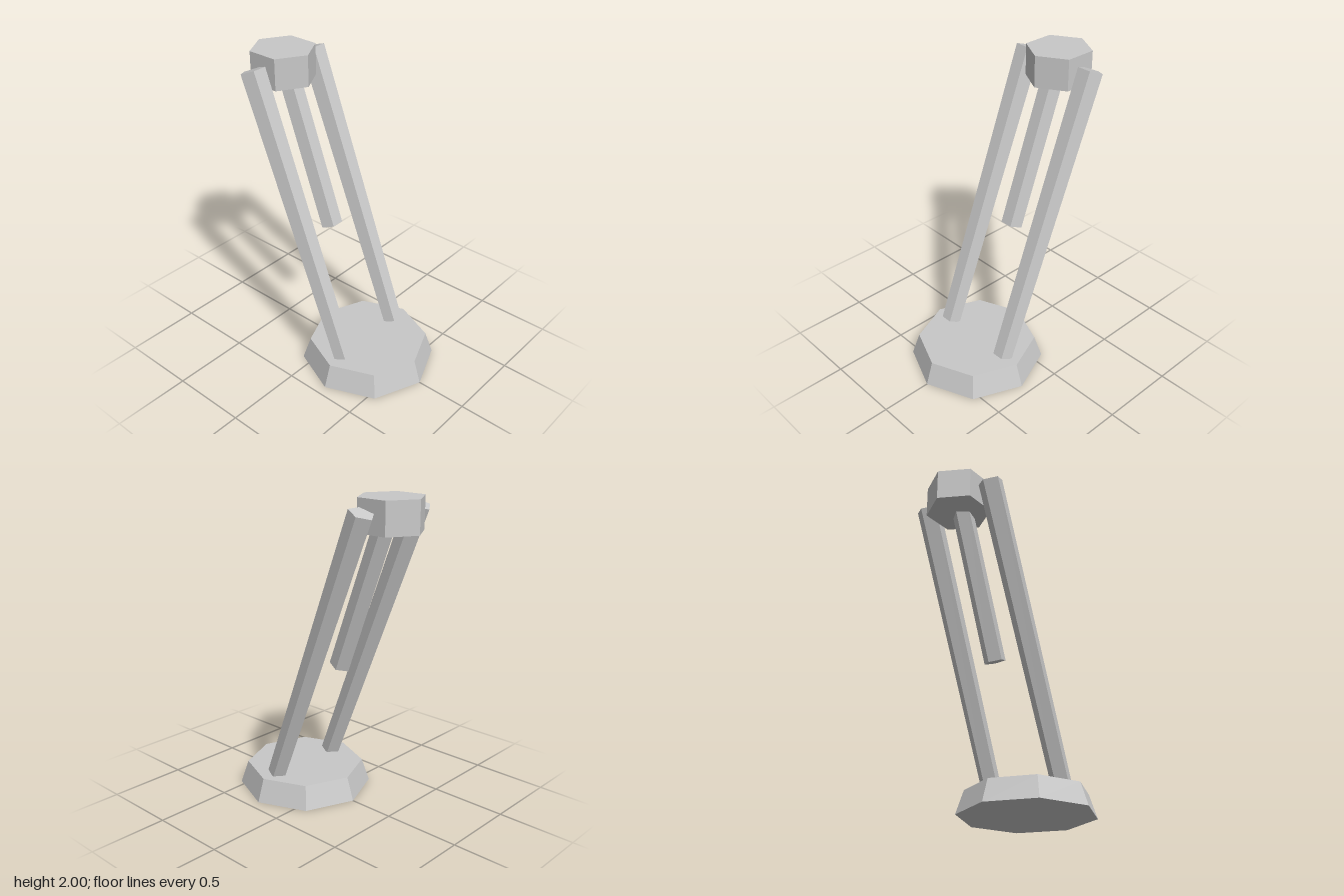
import * as THREE from 'three';

export function createModel() {
  const model = new THREE.Group();
  const grey = new THREE.MeshStandardMaterial({ color: 0xc8c8c8, flatShading: true });
  grey.name = 'light grey';

  function add(name, geometry, x, y, z) {
    const mesh = new THREE.Mesh(geometry, grey);
    mesh.name = name;
    mesh.position.set(x, y, z);
    model.add(mesh);
  }

  // Tapered five-sided post in the xy plane, with one edge facing -x
  function addPost(name, bottom, top, rBottom, rTop, z) {
    const dx = top[0] - bottom[0], dy = top[1] - bottom[1];
    const geometry = new THREE.CylinderGeometry(rTop, rBottom, Math.hypot(dx, dy), 5);
    geometry.rotateY(-Math.PI / 2);
    geometry.rotateZ(Math.atan2(-dx, dy));
    add(name, geometry, (bottom[0] + top[0]) / 2, (bottom[1] + top[1]) / 2, z);
  }

  // Octagonal foot
  add('base', new THREE.CylinderGeometry(0.385, 0.435, 0.15, 8), 0.235, 0.075, 0);

  // Hexagonal head with corners on the x axis
  add('head', new THREE.CylinderGeometry(0.205, 0.205, 0.2, 6).rotateY(Math.PI / 2), -0.467, 1.9, 0);

  // Pair of long leaning posts
  for (const [name, side] of [['leftOfHeadPost', 1], ['rightOfHeadPost', -1]]) {
    addPost(name, [0.235, 0.15], [-0.468, 1.93], 0.065, 0.079, side * 0.256);
  }

  // Short post hanging from the head
  addPost('hangingPost', [-0.085, 0.906], [-0.452, 1.9], 0.07, 0.07, 0);

  return model;
}
